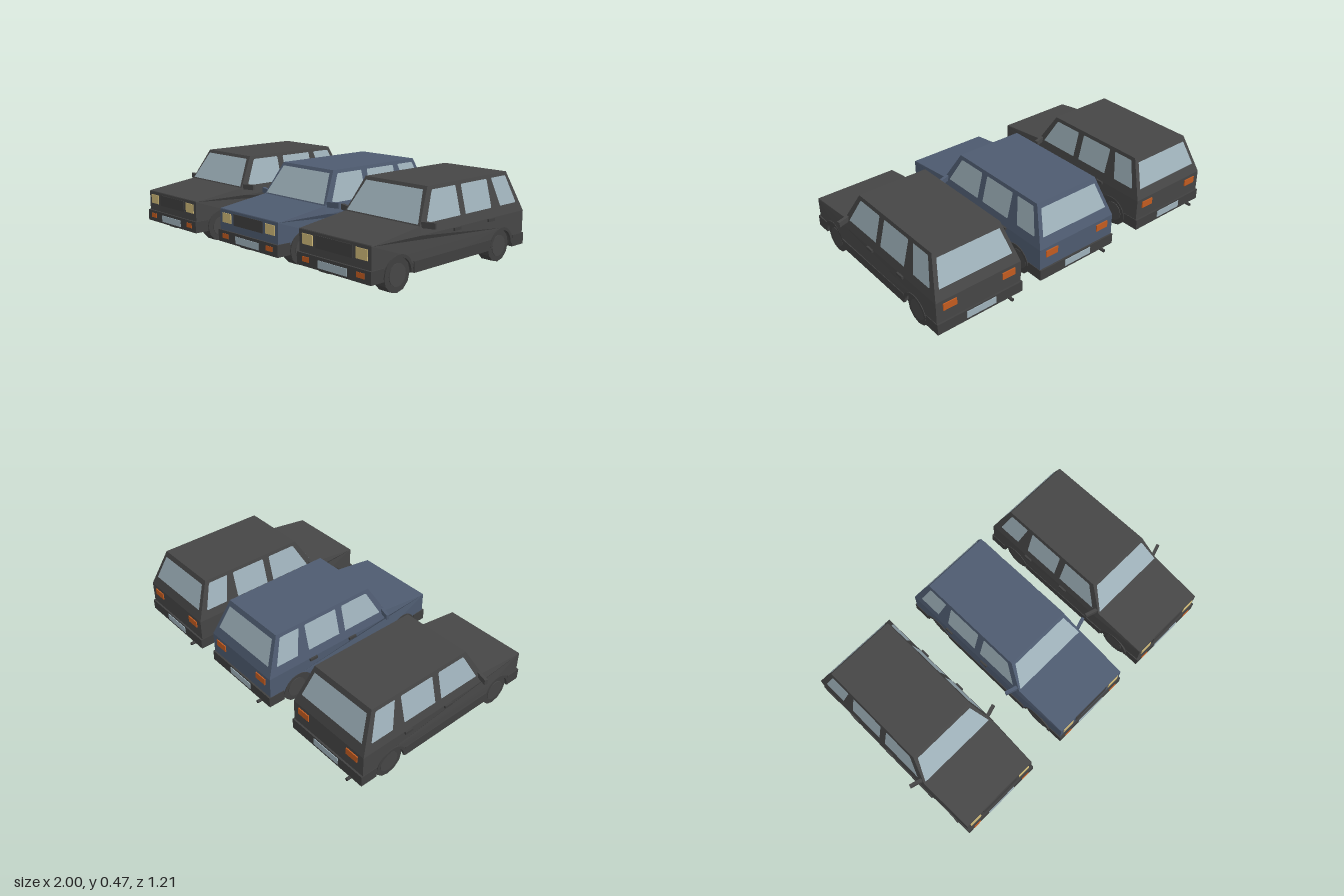
import * as THREE from 'three';
import { ConvexGeometry } from 'three/addons/geometries/ConvexGeometry.js';

const mat = (name, color, side = THREE.FrontSide) =>
  Object.assign(new THREE.MeshStandardMaterial({ color, side }), { name });
const V = (x, y, z) => new THREE.Vector3(x, y, z);

const WAIST = 0.255, ROOF = 0.471, SILL = 0.084;
const AXLES = [0.416, -0.38], AXLE_Y = 0.09, ARCH = 0.098;
// half width of the cabin side at a height, and of the lower body along its length
const cabinHalf = y => 0.2595 - (y - WAIST) * 0.0555 / (ROOF - WAIST);
const bodyHalf = z => 0.2595 - 0.0165 * Math.max(0, (z - 0.27) / 0.32);

export function createModel() {
  const dark = mat('dark paint', 0x464646);
  const blue = mat('blue paint', 0x4e5b70);
  const trim = mat('dark trim', 0x404040);
  const under = mat('underside black', 0x303030);
  const glass = mat('glass', 0x9fb2bb, THREE.DoubleSide);
  const lamp = mat('headlamp yellow', 0xd0ba78);
  const amber = mat('lamp orange', 0xc45c20);

  function buildCar(paint) {
    const car = new THREE.Group();
    const add = (name, geo, material) => {
      const m = new THREE.Mesh(geo, material);
      m.name = name;
      car.add(m);
      return m;
    };
    const box = (name, material, x0, x1, y0, y1, z0, z1) => {
      const m = add(name, new THREE.BoxGeometry(Math.abs(x1 - x0), y1 - y0, Math.abs(z1 - z0)), material);
      m.position.set((x0 + x1) / 2, (y0 + y1) / 2, (z0 + z1) / 2);
      return m;
    };
    // flat convex pane through its corners
    const pane = (name, pts) => {
      const g = new THREE.BufferGeometry().setFromPoints(pts);
      const index = [];
      for (let i = 1; i < pts.length - 1; i++) index.push(0, i, i + 1);
      g.setIndex(index);
      g.computeVertexNormals();
      add(name, g, glass);
    };
    const mirrored = pts => [...pts, ...pts.map(([x, y, z]) => [-x, y, z])].map(p => V(...p));

    // lower body: side profile with wheel arches, tapered towards the nose
    const s = new THREE.Shape();
    s.moveTo(0.59, WAIST);
    s.lineTo(0.27, WAIST);
    s.lineTo(-0.57, WAIST);
    s.lineTo(-0.57, SILL);
    s.lineTo(AXLES[1] - ARCH, SILL);
    s.absarc(AXLES[1], AXLE_Y, ARCH, Math.PI, 0, true);
    s.lineTo(AXLES[1] + ARCH, SILL);
    s.lineTo(0.27, SILL);
    s.lineTo(AXLES[0] - ARCH, SILL);
    s.absarc(AXLES[0], AXLE_Y, ARCH, Math.PI, 0, true);
    s.lineTo(AXLES[0] + ARCH, SILL);
    s.lineTo(0.59, SILL);
    const lower = new THREE.ExtrudeGeometry(s, { depth: 2, bevelEnabled: false, curveSegments: 8 });
    lower.translate(0, 0, -1).rotateY(-Math.PI / 2);
    const p = lower.attributes.position;
    for (let i = 0; i < p.count; i++) p.setX(i, p.getX(i) * bodyHalf(p.getZ(i)));
    lower.computeVertexNormals();
    add('lowerBody', lower, paint);

    // cabin and bonnet
    const cowl = [cabinHalf(0.297), 0.297, 0.27];
    add('cabin', new ConvexGeometry(mirrored([
      [0.2595, WAIST, -0.57], [0.2595, WAIST, 0.27], cowl,
      [0.204, ROOF, 0.168], [0.204, ROOF, -0.477]])), paint);
    add('bonnet', new ConvexGeometry(mirrored([
      [0.2595, WAIST, 0.27], cowl, [0.243, WAIST, 0.59], [0.241, 0.259, 0.588]])), paint);

    // underside and the inner walls of the wheel wells
    box('underside', under, -0.238, 0.238, 0.08, SILL, -0.28, 0.316);
    box('innerChassis', under, -0.165, 0.165, 0.08, 0.2, -0.565, 0.585);

    // windscreen and rear window
    const screenZ = y => 0.27 - (y - 0.297) * 0.102 / 0.174 + 0.004;
    const rearZ = y => -0.57 + (y - WAIST) * 0.093 / 0.216 - 0.003;
    const endWindow = (name, zAt, y0, h0, y1, h1) => pane(name, [
      V(-h0, y0, zAt(y0)), V(h0, y0, zAt(y0)), V(h1, y1, zAt(y1)), V(-h1, y1, zAt(y1))]);
    endWindow('windscreen', screenZ, 0.304, 0.237, 0.455, 0.188);
    endWindow('rearWindow', rearZ, 0.31, 0.222, 0.445, 0.188);

    // side windows as [z, y] outlines with clipped corners
    const sideWindows = [
      [[0.223, 0.306], [0.148, 0.447], [0.14, 0.453], [-0.032, 0.453], [-0.037, 0.447], [-0.037, 0.306]],
      [[-0.08, 0.306], [-0.08, 0.448], [-0.085, 0.453], [-0.29, 0.453], [-0.295, 0.448], [-0.295, 0.31], [-0.291, 0.306]],
      [[-0.373, 0.306], [-0.335, 0.448], [-0.338, 0.453], [-0.454, 0.453], [-0.461, 0.448], [-0.511, 0.311], [-0.507, 0.306]],
    ];

    for (const side of [-1, 1]) {
      for (const w of sideWindows) {
        pane('sideWindow', w.map(([z, y]) => V(side * (cabinHalf(y) + 0.003), y, z)));
      }
      // sill strips and door handles
      box('sill', trim, side * 0.255, side * 0.2625, SILL, 0.14, -0.285, 0.318);
      for (const z of [0.005, -0.275]) {
        box('doorHandle', trim, side * 0.255, side * 0.27, 0.24, 0.255, z - 0.025, z + 0.025);
      }
      // door mirror, swept back towards its tip
      const mirror = box('doorMirror', paint, side * 0.242, side * 0.314, 0.288, 0.318, 0.23, 0.248);
      mirror.rotation.y = side * 0.3;

      // wheels, hubs and arch lips
      for (const z of AXLES) {
        const tyre = add('tyre', new THREE.CylinderGeometry(0.088, 0.088, 0.07, 12).toNonIndexed(), trim);
        tyre.geometry.computeVertexNormals();
        tyre.rotation.z = Math.PI / 2;
        tyre.position.set(side * 0.206, AXLE_Y, z);
        const hub = add('hubcap', new THREE.CylinderGeometry(0.057, 0.057, 0.01, 16), dark);
        hub.rotation.z = Math.PI / 2;
        hub.position.set(side * 0.24, AXLE_Y, z);
        const ring = new THREE.Shape();
        ring.absarc(0, 0, 0.101, 0, Math.PI, false);
        ring.absarc(0, 0, 0.085, Math.PI, 0, true);
        const lip = add('archLip', new THREE.ExtrudeGeometry(ring,
          { depth: 0.012, bevelEnabled: false, curveSegments: 8 }), trim);
        lip.rotation.y = Math.PI / 2;
        lip.position.set(side * (bodyHalf(z) - 0.002) - 0.006, AXLE_Y, z);
      }

      // lamps
      box('headlamp', lamp, side * 0.145, side * 0.22, 0.185, 0.238, 0.587, 0.594);
      box('frontIndicator', amber, side * 0.16, side * 0.21, 0.1, 0.126, 0.597, 0.603);
      box('tailLamp', amber, side * 0.14, side * 0.22, 0.197, 0.236, -0.576, -0.567);
    }

    // grille, bumpers and plates
    box('grille', trim, -0.123, 0.123, 0.18, 0.243, 0.587, 0.593);
    box('frontBumper', trim, -0.25, 0.25, 0.077, 0.142, 0.513, 0.6);
    box('rearBumper', trim, -0.2625, 0.2625, 0.07, 0.132, -0.58, -0.48);
    box('frontPlate', glass, -0.097, 0.097, 0.088, 0.126, 0.598, 0.603);
    box('rearPlate', glass, -0.09, 0.09, 0.085, 0.124, -0.584, -0.578);

    // exhaust pipe
    const path = new THREE.CatmullRomCurve3([V(-0.18, 0.08, -0.5), V(-0.18, 0.068, -0.54), V(-0.18, 0.066, -0.603)]);
    add('exhaustPipe', new THREE.TubeGeometry(path, 6, 0.009, 8), trim);
    add('exhaustTip', new THREE.CircleGeometry(0.009, 8), under).position.set(-0.18, 0.066, -0.603);
    car.children.at(-1).rotation.y = Math.PI;
    return car;
  }

  const model = new THREE.Group();
  model.name = 'threeCars';
  [['rightCar', -0.685, dark], ['middleCar', 0.035, blue], ['leftCar', 0.683, dark]].forEach(([name, x, paint]) => {
    const car = buildCar(paint);
    car.name = name;
    car.position.x = x;
    model.add(car);
  });
  return model;
}
